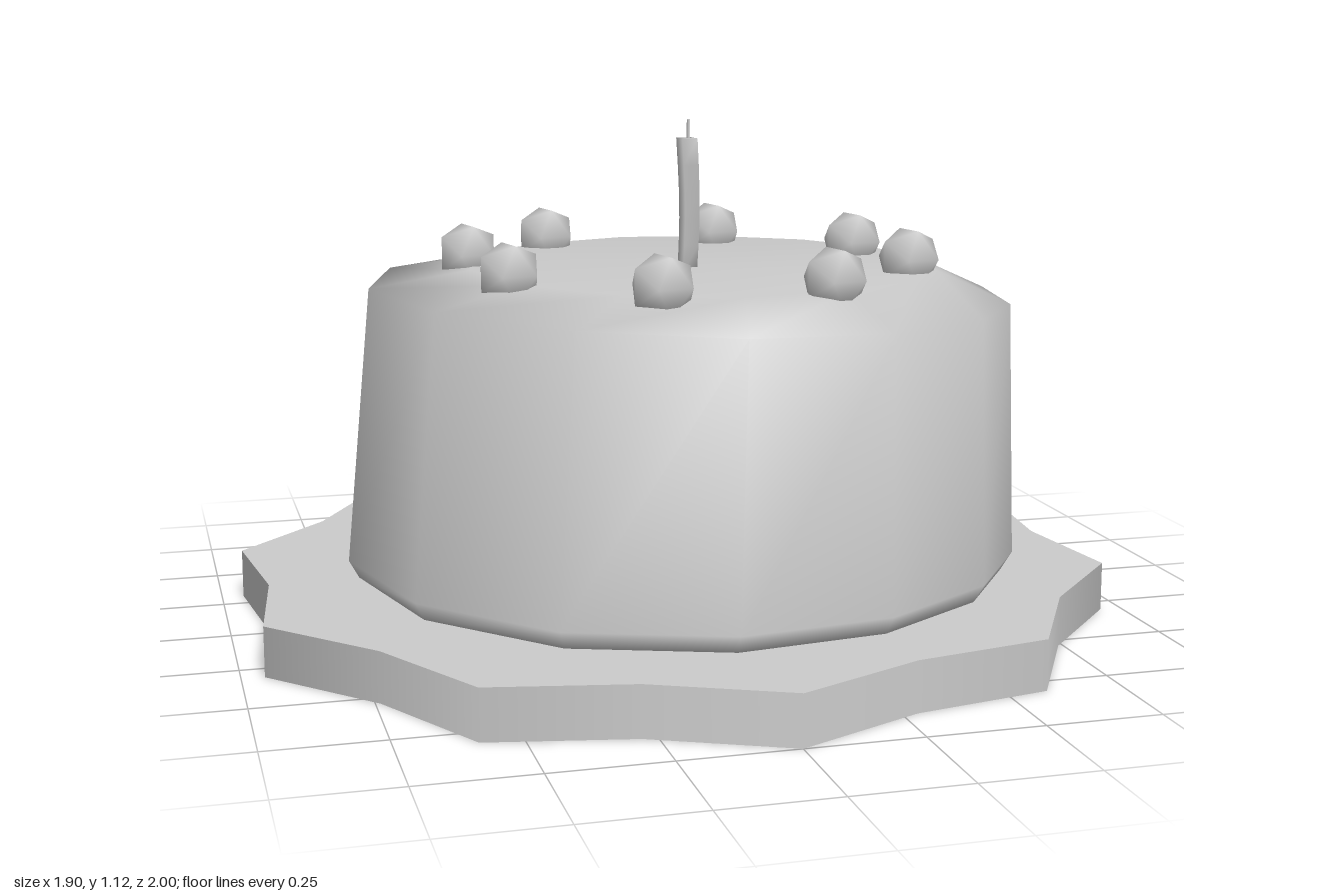
import * as THREE from 'three';
import { mergeVertices } from 'three/addons/utils/BufferGeometryUtils.js';

const material = new THREE.MeshStandardMaterial({ color: 0xcccccc });
const openMaterial = new THREE.MeshStandardMaterial({ color: 0xcccccc, side: THREE.DoubleSide });

function part(name, geometry, x = 0, y = 0, z = 0, mat = material) {
  const mesh = new THREE.Mesh(geometry, mat);
  mesh.name = name;
  mesh.position.set(x, y, z);
  return mesh;
}

// Drop the facet data so neighbouring faces share smooth normals
function smooth(geometry) {
  geometry.deleteAttribute('normal');
  geometry.deleteAttribute('uv');
  const merged = mergeVertices(geometry, 1e-4);
  merged.computeVertexNormals();
  return merged;
}

// Ten-pointed plate: a thin top and rim, hollow underneath
const plateRadius = (i) => (i % 2 ? 0.914 : 1);

function plateTopGeometry() {
  const points = [];
  for (let i = 0; i < 20; i++) {
    const a = Math.PI / 2 + (i * Math.PI) / 10;
    points.push(new THREE.Vector2(Math.cos(a), Math.sin(a)).multiplyScalar(plateRadius(i)));
  }
  return new THREE.ShapeGeometry(new THREE.Shape(points)).rotateX(-Math.PI / 2);
}

function plateRimGeometry() {
  const geometry = new THREE.CylinderGeometry(1, 1, 0.11, 20, 1, true);
  const p = geometry.attributes.position;
  for (let i = 0; i < p.count; i++) {
    const r = plateRadius(i % 21);
    p.setX(i, p.getX(i) * r);
    p.setZ(i, p.getZ(i) * r);
  }
  return geometry;
}

// Slightly uneven 14-sided cake, lofted through scaled copies of its outline
function cakeGeometry() {
  const outline = [
    [-0.05, -0.76], [0.28, -0.72], [0.56, -0.55], [0.73, -0.3], [0.785, 0], [0.73, 0.3], [0.56, 0.54],
    [0.29, 0.71], [-0.05, 0.755], [-0.39, 0.635], [-0.64, 0.36], [-0.735, -0.01], [-0.635, -0.38], [-0.385, -0.64],
  ];
  // scale, x shift, z shift, height, sideways tilt
  const rings = [
    [0, 0, 0, 0.085, 0], [0.92, 0, 0, 0.085, 0], [0.97, 0, 0, 0.11, 0], [1, 0, 0, 0.15, 0],
    [0.95, 0.022, 0, 0.74, -0.031], [0.7, 0.07, -0.04, 0.788, -0.004], [0, 0.05, 0, 0.79, 0],
  ];
  const n = outline.length;
  const positions = [];
  const index = [];
  rings.forEach(([s, dx, dz, y, tilt], r) => {
    outline.forEach(([x, z], i) => {
      positions.push(x * s + dx, y + tilt * x, z * s + dz);
      if (r === rings.length - 1) return;
      const a = r * n + i;
      const b = r * n + ((i + 1) % n);
      if (r < rings.length - 2) index.push(b, a + n, b + n);
      if (r > 0) index.push(a, a + n, b);
    });
  });
  const geometry = new THREE.BufferGeometry();
  geometry.setAttribute('position', new THREE.Float32BufferAttribute(positions, 3));
  geometry.setIndex(index);
  return smooth(geometry);
}

// Four-sided candle with a gentle bend
function candleGeometry() {
  const geometry = new THREE.CylinderGeometry(0.026, 0.024, 0.3, 4, 5);
  geometry.rotateY(Math.PI / 4 + 0.12).translate(0, 0.15, 0);
  const p = geometry.attributes.position;
  for (let i = 0; i < p.count; i++) {
    const t = p.getY(i) / 0.3;
    p.setX(i, p.getX(i) + 0.004 * Math.sin(t * 3.5));
    p.setZ(i, p.getZ(i) + 0.004 * Math.sin(t * 3));
  }
  return smooth(geometry);
}

export function createModel() {
  const group = new THREE.Group();
  group.name = 'cake';
  const plate = new THREE.Group();
  plate.name = 'plate';
  plate.add(part('plateTop', plateTopGeometry(), 0, 0.11, 0, openMaterial));
  plate.add(part('plateRim', plateRimGeometry(), 0, 0.055, 0, openMaterial));
  group.add(plate);
  group.add(part('cakeBody', cakeGeometry()));

  // Ring of small round toppings
  const berryGeometry = smooth(new THREE.IcosahedronGeometry(0.074, 0));
  berryGeometry.rotateX(Math.PI / 2).rotateY(0.2);
  const spots = [
    [-0.19, -0.44], [0.23, -0.44], [0.495, -0.15], [0.51, 0.185],
    [0.24, 0.46], [-0.135, 0.47], [-0.405, 0.21], [-0.43, -0.155],
  ];
  const berries = new THREE.Group();
  berries.name = 'berries';
  spots.forEach(([x, z]) => berries.add(part('berry', berryGeometry, x, 0.816, z)));
  group.add(berries);

  // Candle and wick
  group.add(part('candle', candleGeometry(), 0.043, 0.78, 0.012));
  group.add(part('wick', new THREE.CylinderGeometry(0.003, 0.004, 0.05, 4), 0.044, 1.097, 0.014));
  return group;
}
